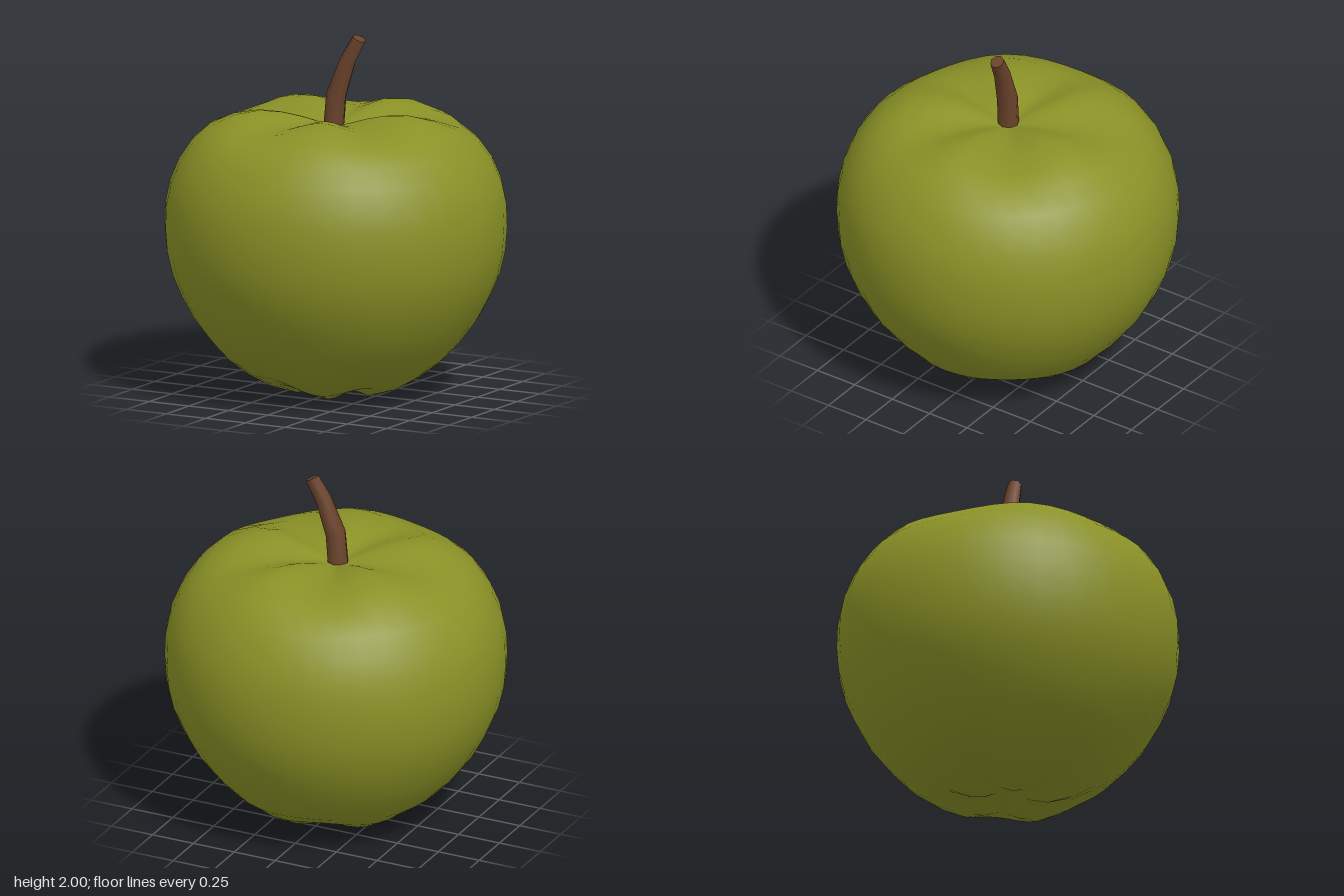
import * as THREE from 'three';
import { mergeVertices } from 'three/addons/utils/BufferGeometryUtils.js';

const LOBES = 5;

// Smooth bump: 0 at a, 1 at peak, 0 at b
function bump(v, a, peak, b) {
  if (v <= a || v >= b) return 0;
  const t = v < peak ? (v - a) / (peak - a) : (b - v) / (b - peak);
  return t * t * (3 - 2 * t);
}

// Merge the seam so the normals run smoothly all round
function smooth(geometry) {
  geometry.deleteAttribute('uv');
  geometry.deleteAttribute('normal');
  const merged = mergeVertices(geometry, 1e-4);
  merged.computeVertexNormals();
  return merged;
}

// Turned fruit with five soft lobes pressed into the crown and the base
function fruitGeometry() {
  const profile = [
    [0, 0.07], [0.06, 0.05], [0.13, 0.015], [0.22, 0], [0.37, 0.045], [0.49, 0.115],
    [0.6, 0.2], [0.69, 0.3], [0.78, 0.42], [0.85, 0.55], [0.9, 0.67], [0.93, 0.8],
    [0.94, 0.93], [0.935, 1.06], [0.91, 1.18], [0.86, 1.3], [0.79, 1.405], [0.69, 1.5],
    [0.56, 1.56], [0.42, 1.582], [0.3, 1.57], [0.19, 1.543], [0.09, 1.51], [0, 1.485],
  ].map(([r, y]) => new THREE.Vector2(r, y));
  const geometry = new THREE.LatheGeometry(profile, 40);
  const p = geometry.attributes.position;
  for (let i = 0; i < p.count; i++) {
    const x = p.getX(i), y = p.getY(i), z = p.getZ(i);
    const r = Math.hypot(x, z);
    const valley = (1 - Math.cos(LOBES * Math.atan2(z, x))) / 2;
    const lift = y > 0.93 ? -0.06 * bump(r, 0, 0.42, 0.92) : 0.045 * bump(r, 0, 0.25, 0.75);
    p.setY(i, y + lift * valley);
  }
  return smooth(geometry);
}

// Tapered stalk: each ring of a cylinder is moved onto a bent path
function stalkGeometry() {
  // centre x, y, z, radius, lean
  const rings = [
    [0.135, 1.983, -0.022, 0.039, 0.47],
    [0.07, 1.86, -0.01, 0.046, 0.42],
    [0.003, 1.665, 0.002, 0.058, 0.2],
    [-0.01, 1.5, 0.004, 0.059, 0],
  ];
  const build = (geometry, pick) => {
    const p = geometry.attributes.position;
    for (let i = 0; i < p.count; i++) {
      const [cx, cy, cz, r, lean] = rings[pick(p.getY(i))];
      const x = p.getX(i), z = p.getZ(i);
      p.setXYZ(i, cx + x * r * Math.cos(lean), cy - x * r * Math.sin(lean), cz + z * r);
    }
    return geometry;
  };
  const side = build(new THREE.CylinderGeometry(1, 1, 3, 8, 3, true), (y) => Math.round(1.5 - y));
  const cap = build(new THREE.CircleGeometry(1, 8).rotateX(-Math.PI / 2), () => 0);
  cap.computeVertexNormals();
  return { side: smooth(side), cap };
}

export function createModel() {
  const skin = new THREE.MeshStandardMaterial({ color: 0x8a9126 });
  skin.name = 'green skin';
  const bark = new THREE.MeshStandardMaterial({ color: 0x6b432b });
  bark.name = 'brown stalk';

  const model = new THREE.Group();
  model.name = 'apple';
  const add = (parent, name, geometry, material) => {
    const mesh = new THREE.Mesh(geometry, material);
    mesh.name = name;
    parent.add(mesh);
  };

  add(model, 'fruit', fruitGeometry(), skin);

  const stem = new THREE.Group();
  stem.name = 'stem';
  const { side, cap } = stalkGeometry();
  add(stem, 'stemSide', side, bark);
  add(stem, 'stemCap', cap, bark);
  model.add(stem);
  return model;
}
